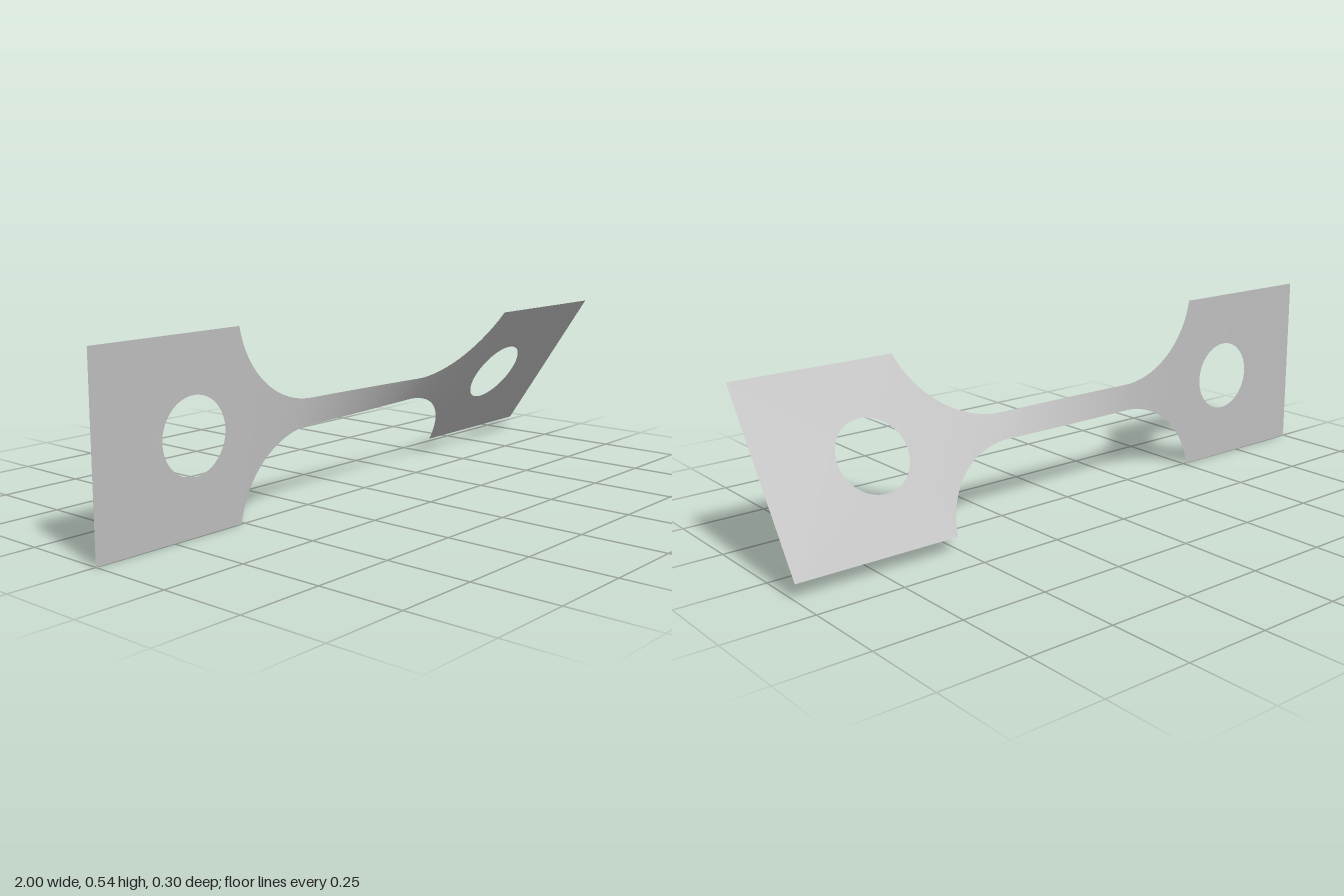
import * as THREE from 'three';

const HALF = 0.27;        // half height of the heads
const NECK = 0.04;        // half height of the neck
const HEAD_X = 0.51;      // where the heads begin
const R = 0.28;           // fillet radius
const ARC = Math.acos((NECK + R - HALF) / R);
const ARC_X = HEAD_X - R * Math.sin(ARC);

// twist angle in degrees along x: nearly all of it happens in the neck
const TWIST = [[-1, 0], [-0.51, 0.6], [-0.38, 1.3], [-0.26, 3.6], [0.26, 30.2], [0.38, 32.5], [0.51, 33.2], [1, 33.8]];

function twistAt(x) {
  let i = 0;
  while (i < TWIST.length - 2 && x > TWIST[i + 1][0]) i++;
  const [x0, a0] = TWIST[i], [x1, a1] = TWIST[i + 1];
  return THREE.MathUtils.degToRad(a0 + (a1 - a0) * (x - x0) / (x1 - x0));
}

// turns every vertex of a flat sheet about the long axis
function twist(geometry) {
  const p = geometry.attributes.position;
  for (let i = 0; i < p.count; i++) {
    const a = twistAt(p.getX(i)), v = p.getY(i);
    p.setXYZ(i, p.getX(i), HALF + v * Math.cos(a), v * Math.sin(a));
  }
  geometry.computeVertexNormals();
  return geometry;
}

function halfHeight(x) {
  const d = Math.max(0, Math.abs(x) - ARC_X);
  return NECK + R - Math.sqrt(R * R - d * d);
}

// square head with a round hole
function headGeometry(side) {
  const a = Math.min(side, side * HEAD_X), b = Math.max(side, side * HEAD_X);
  const shape = new THREE.Shape();
  shape.moveTo(a, -HALF).lineTo(b, -HALF).lineTo(b, HALF).lineTo(a, HALF).closePath();
  const hole = new THREE.Path();
  hole.absarc(side * 0.673, 0, 0.108, 0, Math.PI * 2, true);
  shape.holes.push(hole);
  return twist(new THREE.ShapeGeometry(shape, 32));
}

// narrow middle with the four fillets
function neckGeometry() {
  const n = 24, xs = [];
  for (let i = 0; i <= n; i++) xs.push(-ARC_X - R * Math.sin(ARC * (1 - i / n)));
  for (let i = 1; i < n; i++) xs.push(-ARC_X + 2 * ARC_X * i / n);
  for (let i = 0; i <= n; i++) xs.push(ARC_X + R * Math.sin(ARC * i / n));
  const geometry = new THREE.PlaneGeometry(2, 2, xs.length - 1, 8);
  const p = geometry.attributes.position;
  for (let i = 0; i < p.count; i++) {
    const x = xs[i % xs.length];
    p.setXY(i, x, p.getY(i) * halfHeight(x));
  }
  return twist(geometry);
}

export function createModel() {
  const group = new THREE.Group();
  group.name = 'twistedTestStrip';
  const metal = new THREE.MeshStandardMaterial({ color: 0xbfbfbf, side: THREE.DoubleSide });
  metal.name = 'greyMetal';
  const add = (name, geometry) => {
    const mesh = new THREE.Mesh(geometry, metal);
    mesh.name = name;
    group.add(mesh);
  };
  add('rightHead', headGeometry(-1));
  add('neck', neckGeometry());
  add('leftHead', headGeometry(1));
  return group;
}
